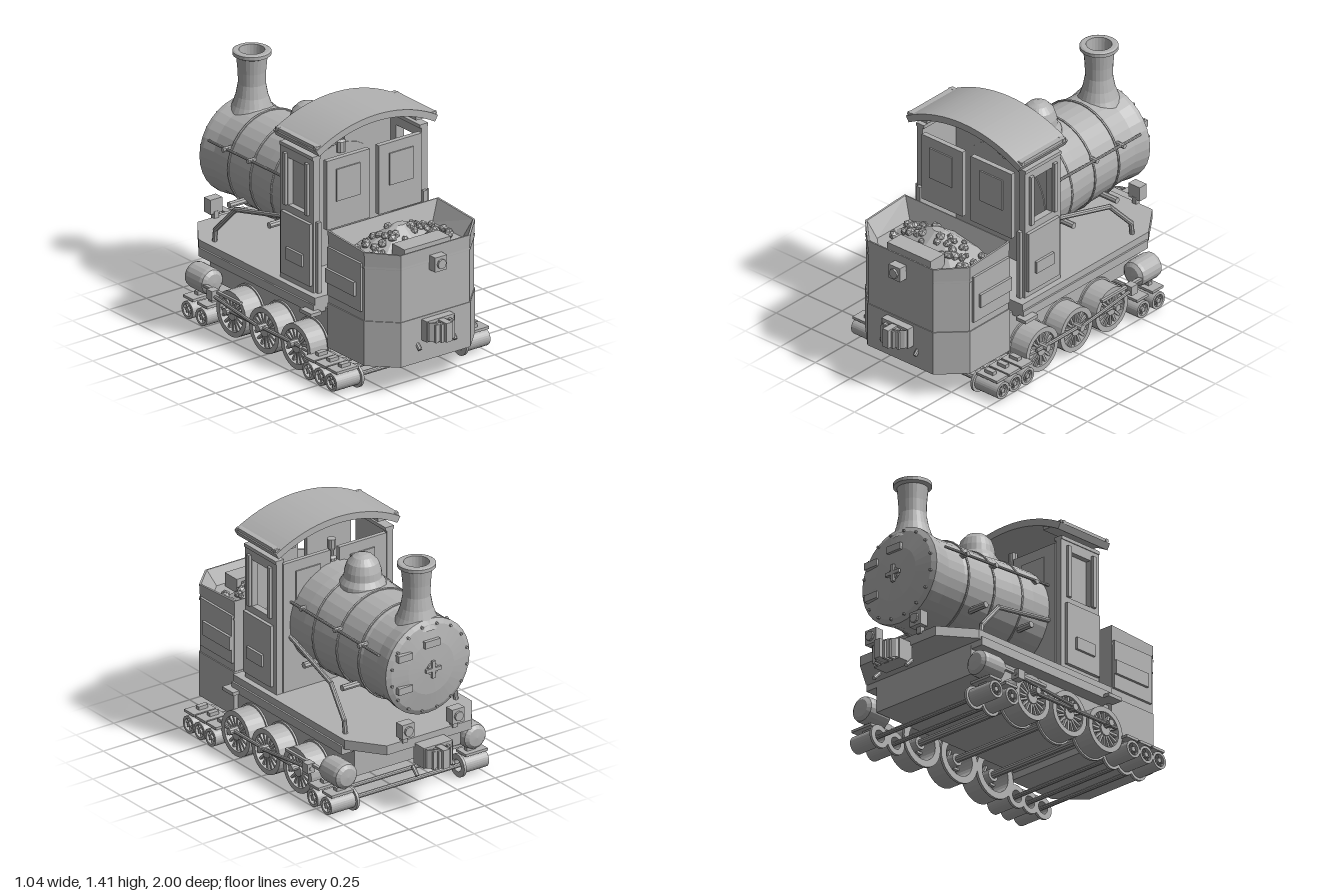
import * as THREE from 'three';

const steel = new THREE.MeshStandardMaterial({ color: 0xb2b2b2, flatShading: true, side: THREE.DoubleSide });
steel.name = 'plain grey';

export function createModel() {
  const model = new THREE.Group();
  model.name = 'steamEngine';
  const add = (name, geo, x = 0, y = 0, z = 0, parent = model) => {
    const m = new THREE.Mesh(geo, steel);
    m.name = name;
    m.position.set(x, y, z);
    parent.add(m);
    return m;
  };
  // box given by its limits
  const box = (name, x0, x1, y0, y1, z0, z1) =>
    add(name, new THREE.BoxGeometry(Math.abs(x1 - x0), y1 - y0, Math.abs(z1 - z0)), (x0 + x1) / 2, (y0 + y1) / 2, (z0 + z1) / 2);
  const pair = (name, x0, x1, ...r) => [1, -1].forEach(s => box(name, s * x0, s * x1, ...r));
  const cylX = (name, r, x0, x1, y, z, n = 20) =>
    add(name, new THREE.CylinderGeometry(r, r, Math.abs(x1 - x0), n).rotateZ(Math.PI / 2), (x0 + x1) / 2, y, z);
  const cylZ = (name, r, x, y, z0, z1, n = 12) =>
    add(name, new THREE.CylinderGeometry(r, r, Math.abs(z1 - z0), n).rotateX(Math.PI / 2), x, y, (z0 + z1) / 2);
  const lathe = (pts, n = 32) => new THREE.LatheGeometry(pts.map(p => new THREE.Vector2(...p)), n);
  // straight round bars joining points
  const bar = (name, r, ...pts) => {
    for (let i = 1; i < pts.length; i++) {
      const a = new THREE.Vector3(...pts[i - 1]), b = new THREE.Vector3(...pts[i]), d = b.clone().sub(a);
      const m = add(name, new THREE.CylinderGeometry(r, r, d.length() + r, 8));
      m.position.copy(a.add(b).multiplyScalar(0.5));
      m.quaternion.setFromUnitVectors(new THREE.Vector3(0, 1, 0), d.normalize());
    }
  };
  // upright prism from an (x, z) outline
  const prism = (name, pts, y0, y1) => {
    const s = new THREE.Shape(pts.map(([x, z]) => new THREE.Vector2(x, -z)));
    const g = new THREE.ExtrudeGeometry(s, { depth: y1 - y0, bevelEnabled: false });
    return add(name, g.rotateX(-Math.PI / 2), 0, y0, 0);
  };
  // skin between two closed rings
  const skin = (name, a, b) => {
    const v = [];
    a.forEach((p, i) => {
      const j = (i + 1) % a.length;
      v.push(...p, ...a[j], ...b[j], ...p, ...b[j], ...b[i]);
    });
    const g = new THREE.BufferGeometry();
    g.setAttribute('position', new THREE.Float32BufferAttribute(v, 3));
    g.computeVertexNormals();
    return add(name, g);
  };

  // boiler, smokebox and door
  const cy = 0.83;
  add('boiler', lathe([[0, -0.05], [0.297, -0.05], [0.297, 0.1], [0.288, 0.25], [0.277, 0.38], [0.274, 0.58],
    [0.268, 0.6], [0.265, 0.72], [0.277, 0.8], [0.277, 0.825], [0.25, 0.84], [0.15, 0.858], [0, 0.865]]).rotateX(-Math.PI / 2), 0, cy, 0);
  [[0.18, 0.292], [0.38, 0.279], [0.575, 0.276]].forEach(([z, r]) =>
    add('boilerBand', new THREE.TorusGeometry(r, 0.007, 6, 32), 0, cy, -z));
  for (let i = 0; i < 16; i++) {
    const a = (i + 0.5) * Math.PI / 8;
    cylZ('doorBolt', 0.008, 0.25 * Math.cos(a), cy + 0.25 * Math.sin(a), -0.83, -0.85, 6);
  }
  box('hingeTop', -0.05, 0.05, 0.96, 1.0, -0.875, -0.835);
  box('hingeUpper', 0.13, 0.22, 0.92, 0.96, -0.87, -0.83);
  box('hingeLower', 0.13, 0.22, 0.73, 0.77, -0.87, -0.83);
  cylZ('doorHub', 0.035, 0, cy, -0.85, -0.875);
  box('doorHandle', -0.05, 0.05, cy - 0.01, cy + 0.01, -0.885, -0.87);
  box('doorHandle', -0.01, 0.01, cy - 0.05, cy + 0.05, -0.885, -0.87);

  // chimney, dome and whistle
  add('chimney', lathe([[0.13, 1.05], [0.105, 1.1], [0.088, 1.15], [0.075, 1.22], [0.077, 1.29], [0.085, 1.375], [0.105, 1.385],
    [0.105, 1.405], [0.095, 1.41], [0.07, 1.41], [0.06, 1.2], [0, 1.2]], 24), 0, 0, -0.725);
  add('steamDome', lathe([[0.13, 1.08], [0.125, 1.11], [0.105, 1.14], [0.1, 1.18], [0.085, 1.225], [0.055, 1.257], [0.025, 1.27], [0, 1.272]], 24), 0, 0, -0.235);
  add('whistle', lathe([[0.03, 1.08], [0.028, 1.14], [0.014, 1.15], [0.014, 1.18], [0.025, 1.2], [0.025, 1.25], [0, 1.25]], 10), 0, 0, 0.05);

  // handrails, stays and boiler knobs
  for (const s of [1, -1]) {
    bar('handrail', 0.008, [s * 0.29, 0.965, 0.03], [s * 0.27, 0.94, -0.75]);
    [-0.07, -0.38, -0.6].forEach(z => cylX('railKnob', 0.014, s * 0.22, s * 0.295, 0.96 + z * 0.03, z, 8));
    bar('slopingStay', 0.014, [s * 0.29, 0.76, 0.03], [s * 0.345, 0.67, -0.42], [s * 0.365, 0.51, -0.57], [s * 0.365, 0.43, -0.58]);
    [-0.15, -0.5].forEach(z => cylX('washoutPlug', 0.018, s * 0.2, s * 0.33, 0.665, z, 8));
  }

  // footplate and frame
  prism('footplate', [[-0.42, 0.37], [-0.42, -0.65], [-0.28, -0.84], [0.28, -0.84], [0.42, -0.65], [0.42, 0.37]], 0.385, 0.44);
  box('footplateEdge', -0.43, 0.43, 0.35, 0.4, -0.635, 0.37);
  prism('frame', [[-0.35, 0.42], [-0.35, -0.64], [0.35, -0.64], [0.35, 0.42]], 0.2, 0.37);
  box('gangway', -0.07, 0.07, 0.4, 0.43, 0.35, 0.45);
  pair('drawbar', 0.18, 0.21, 0.36, 0.4, 0.35, 0.45);
  pair('step', 0.4, 0.47, 0.35, 0.37, 0.3, 0.4);

  // cab front wall
  pair('cabFrontWall', 0.03, 0.34, 0.44, 1.2, 0.02, 0.045);
  pair('cabFrontPane', 0.1, 0.26, 0.955, 1.14, 0.012, 0.02);
  box('cabLowerWall', -0.05, 0.05, 0.44, 1.08, 0.02, 0.04);
  // pair of rear cab panels with panes
  pair('cabRearPanel', 0.03, 0.32, 0.8, 1.2, 0.315, 0.345);
  pair('cabRearPane', 0.1, 0.26, 0.955, 1.14, 0.345, 0.353);
  // cab sides with a window
  const side = new THREE.Shape([[0.02, 0.44], [0.31, 0.44], [0.31, 1.23], [0.02, 1.23]].map(p => new THREE.Vector2(...p)));
  side.holes.push(new THREE.Path([[0.09, 0.88], [0.09, 1.155], [0.245, 1.155], [0.245, 0.88]].map(p => new THREE.Vector2(...p))));
  for (const s of [1, -1]) {
    const g = new THREE.ExtrudeGeometry(side, { depth: 0.04, bevelEnabled: false }).rotateY(-Math.PI / 2);
    add('cabSide', g, s > 0 ? 0.385 : -0.345, 0, 0);
    cylX('roofPin', 0.012, s * 0.35, s * 0.41, 1.3, 0.35, 6);
    cylX('roofPin', 0.012, s * 0.35, s * 0.41, 1.3, 0.02, 6);
  }
  box('farWindowPane', -0.353, -0.346, 0.88, 1.155, 0.09, 0.245);
  pair('cabSidePanel', 0.38, 0.405, 0.48, 0.84, 0.05, 0.3);
  pair('cabSidePlate', 0.4, 0.42, 0.58, 0.65, 0.11, 0.25);
  pair('doorPostLower', 0.345, 0.37, 0.44, 0.85, 0.31, 0.33);
  pair('windowFrame', 0.385, 0.402, 0.88, 1.18, 0.06, 0.085);
  pair('windowFrame', 0.385, 0.402, 0.88, 1.18, 0.25, 0.275);
  pair('cabPillarCap', 0.335, 0.39, 1.21, 1.23, 0.02, 0.31);

  // arched roof
  const roof = new THREE.Shape();
  const c = Math.PI / 2, h = 0.525;
  roof.absarc(0, 0.581, 0.819, c - h, c + h, false);
  roof.absarc(0, 0.581, 0.78, c + h, c - h, true);
  add('roof', new THREE.ExtrudeGeometry(roof, { depth: 0.38, bevelEnabled: false, curveSegments: 16 }), 0, 0, -0.01);
  pair('roofBracket', 0.27, 0.405, 1.29, 1.31, 0, 0.36);

  // tender body, raised lip and hopper
  const plan = k => [[-0.375, 0.42], [-0.375, 0.74], [-0.235, 0.88], [0.235, 0.88], [0.375, 0.74], [0.375, 0.42]]
    .map(([x, z]) => [x * k, 0.62 + (z - 0.62) * k]);
  prism('tenderSkirt', plan(1), 0.16, 0.42);
  prism('tenderBody', plan(0.985), 0.42, 0.72);
  const ring = (k, y) => plan(k).map(([x, z]) => [x, y + (y > 0.78 ? (0.88 - z) * 0.06 : 0), z]);
  skin('tenderLip', ring(0.985, 0.72), ring(1, 0.81));
  skin('tenderRim', ring(1, 0.81), ring(0.97, 0.81));
  skin('hopper', ring(0.97, 0.81), ring(0.82, 0.722));
  skin('tenderBeading', ring(1, 0.725), ring(1, 0.737));
  box('waterHatch', -0.155, 0.155, 0.72, 0.8, 0.7, 0.81);
  pair('tenderSidePanel', 0.365, 0.385, 0.47, 0.75, 0.43, 0.72);
  pair('tenderSidePlate', 0.38, 0.4, 0.55, 0.63, 0.43, 0.68);

  // coal heap with scattered lumps
  const heap = new THREE.CylinderGeometry(0.05, 0.36, 0.12, 8).scale(0.85, 1, 0.55);
  add('coalHeap', heap, 0, 0.775, 0.57);
  let seed = 7;
  const rnd = () => (seed = (seed * 16807) % 2147483647) / 2147483647;
  for (let i = 0; i < 48; i++) {
    const x = (i % 2 ? 1 : -1) * (0.04 + 0.24 * rnd()), z = 0.49 + 0.19 * rnd();
    const d = Math.hypot(x / 0.31, (z - 0.57) / 0.2);
    add('coalLump', new THREE.IcosahedronGeometry(0.016 + 0.012 * rnd(), 0), x, Math.max(0.745, 0.85 - 0.13 * d), z)
      .rotation.set(rnd() * 3, rnd() * 3, 0);
  }

  // couplers and hooks at both ends
  for (const s of [1, -1]) {
    box('couplerBlock', -0.095, 0.095, 0.285, 0.405, s > 0 ? 0.87 : -0.83, s * 0.925);
    add('couplerNose', new THREE.CylinderGeometry(0.09, 0.09, 0.11, 16, 1, s > 0 ? -c : c, Math.PI).scale(1, 1, 0.55), 0, 0.345, s * 0.92);
    box('couplerTongue', -0.02, 0.02, 0.29, 0.4, s * 0.92, s);
    [1, 2].forEach(i => pair('couplerRib', i * 0.028 - 0.008, i * 0.028 + 0.008, 0.285, 0.39, s * 0.92, s * (0.99 - i * 0.012)));
    [0.12, -0.12].forEach(x => bar('hook', 0.012, [x, 0.28, s * 0.86], [x, 0.245, s * 0.895]));
  }
  // lamps
  const lamp = (x, y, z, s) => {
    box('lampCase', x - 0.04, x + 0.04, y - 0.042, y + 0.042, z - 0.028, z + 0.028);
    cylZ('lampLens', 0.028, x, y, z, z + s * 0.04, 8);
  };
  lamp(0, 0.72, 0.9, 1);
  [0.165, -0.165].forEach(x => {
    lamp(x, 0.51, -0.85, -1);
    box('lampStand', x - 0.015, x + 0.015, 0.43, 0.48, -0.85, -0.82);
  });

  // wheels, with rim, flange, hub and spokes
  const wheel = (s, z, y, r, x0, x1, spokes, inner) => {
    const w = new THREE.Group(), q = r * inner;
    w.name = 'wheel';
    w.position.set(0, y, z);
    model.add(w);
    const turn = g => g.rotateZ(-s * Math.PI / 2);
    add('rim', turn(lathe([[q, x0], [r, x0], [r, x1], [q, x1], [q, x0]], 28)), 0, 0, 0, w);
    add('flange', turn(lathe([[q, x0 - 0.015], [y, x0 - 0.015], [y, x0], [q, x0], [q, x0 - 0.015]], 28)), 0, 0, 0, w);
    add('hub', turn(new THREE.CylinderGeometry(r * 0.28, r * 0.28, x1 - x0, 12)), s * (x0 + x1) / 2, 0, 0, w);
    for (let i = 0; i < spokes; i++)
      add('spoke', new THREE.BoxGeometry(0.02, r * 0.65, r * 0.1).translate(0, r * 0.5, 0), s * (x1 - 0.02), 0, 0, w)
        .rotation.x = i * 2 * Math.PI / spokes;
  };
  const drive = [0.27, -0.006, -0.292], small = [0.638, 0.538, 0.438, -0.495, -0.618];
  for (const s of [1, -1]) {
    drive.forEach(z => wheel(s, z, 0.14, 0.13, 0.36, 0.475, 16, 0.77));
    small.forEach(z => {
      wheel(s, z, 0.066, 0.05, 0.36, 0.52, 8, 0.7);
      box('axlePlate', s * 0.37, s * 0.515, 0.125, 0.14, z - 0.045, z + 0.045);
      box('axleHanger', s * 0.4, s * 0.46, 0.11, 0.16, z - 0.015, z + 0.015);
    });
    // side rod, main rod, crosshead and steam cylinder
    bar('sideRod', 0.011, [s * 0.49, 0.165, 0.33], [s * 0.49, 0.165, -0.3]);
    bar('mainRod', 0.01, [s * 0.51, 0.17, 0], [s * 0.5, 0.215, -0.45]);
    drive.forEach(z => cylX('crankPin', 0.02, s * 0.46, s * 0.52, 0.165, z, 10));
    box('slideBar', s * 0.47, s * 0.49, 0.225, 0.24, -0.52, -0.2);
    box('crosshead', s * 0.47, s * 0.52, 0.19, 0.245, -0.45, -0.4);
    add('steamCylinder', lathe([[0, -0.095], [0.05, -0.09], [0.07, -0.075], [0.075, -0.055], [0.075, 0.055], [0.07, 0.075], [0.05, 0.09], [0, 0.095]], 18)
      .rotateX(c), s * 0.425, 0.235, -0.597);
  }
  drive.forEach(z => cylX('driveAxle', 0.02, -0.42, 0.42, 0.14, z, 10));
  small.forEach(z => cylX('smallAxle', 0.013, -0.45, 0.45, 0.066, z, 10));
  return model;
}
